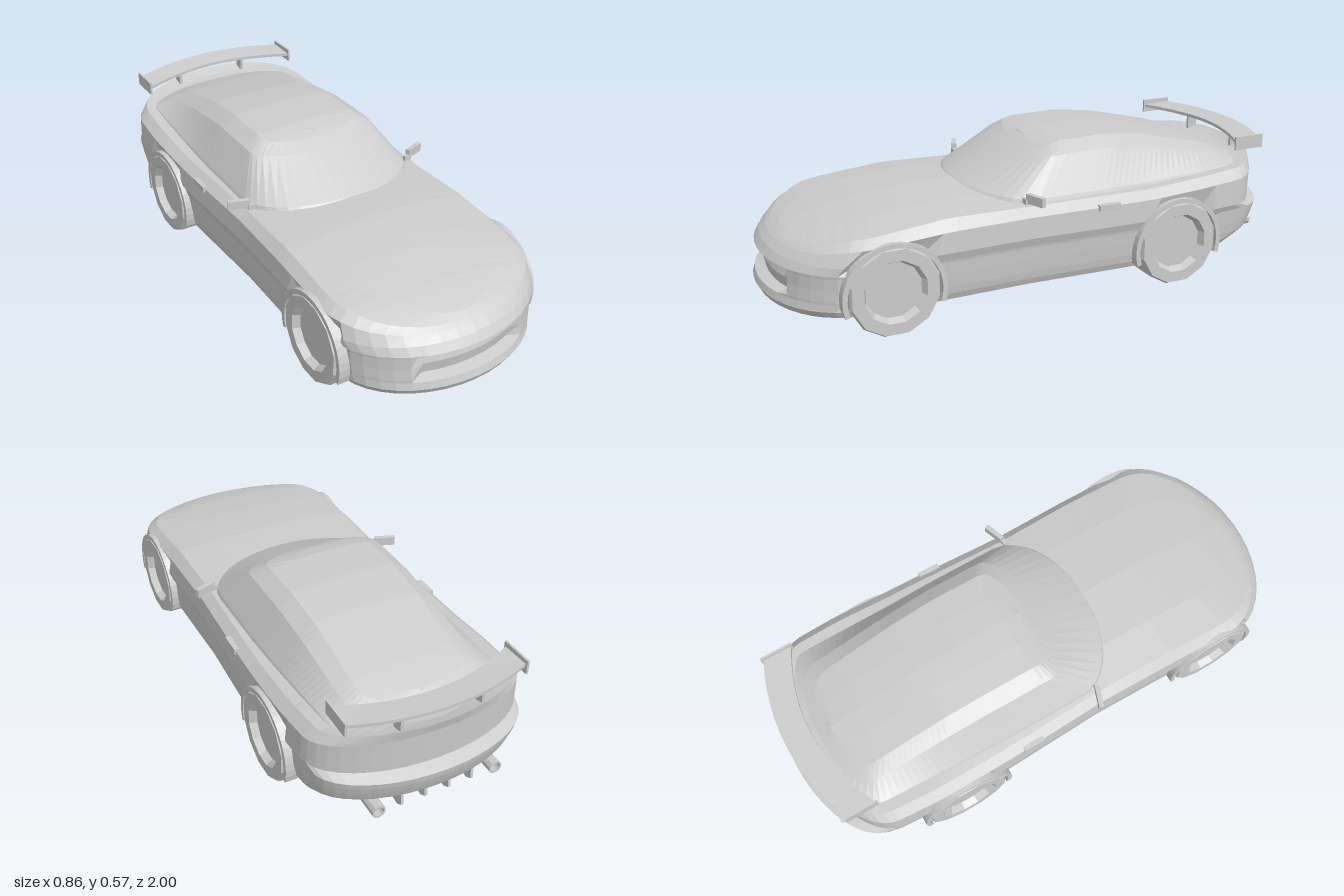
import * as THREE from 'three';

const grey = new THREE.MeshStandardMaterial({ color: 0xcccccc, flatShading: true, side: THREE.DoubleSide });
const CAP = 10, MID = 30;

// piecewise linear lookup in a table of [z, value], z falling
function lookup(table, z) {
  if (z >= table[0][0]) return table[0][1];
  for (let i = 1; i < table.length; i++) {
    const [z0, v0] = table[i - 1], [z1, v1] = table[i];
    if (z >= z1) return v0 + (v1 - v0) * (z0 - z) / (z0 - z1);
  }
  return table[table.length - 1][1];
}

// closed plan outline: elliptical nose, straight flanks, elliptical tail
function outline({ front, rear, w, y, noseDepth, tailDepth, waist = [[0, 1]] }) {
  const half = [];
  for (let i = 0; i <= CAP; i++) {
    const a = i / CAP * Math.PI / 2;
    half.push([w * Math.sin(a), front - noseDepth * (1 - Math.cos(a))]);
  }
  for (let i = 1; i < MID; i++)
    half.push([w, THREE.MathUtils.lerp(front - noseDepth, rear + tailDepth, i / MID)]);
  for (let i = CAP; i >= 0; i--) {
    const a = i / CAP * Math.PI / 2;
    half.push([w * Math.sin(a), rear + tailDepth * (1 - Math.cos(a))]);
  }
  const right = half.slice(1, -1).reverse().map(([x, z]) => [-x, z]);
  return half.concat(right).map(([x, z]) =>
    new THREE.Vector3(x * lookup(waist, z), lookup(y, z), z));
}

// skin over a stack of outlines
function skin(rings) {
  const n = rings[0].length, pos = [], index = [];
  rings.forEach(r => r.forEach(p => pos.push(p.x, p.y, p.z)));
  for (let v = 0; v < rings.length - 1; v++)
    for (let i = 0; i < n; i++) {
      const a = v * n + i, b = v * n + (i + 1) % n;
      index.push(a, b, b + n, a, b + n, a + n);
    }
  const g = new THREE.BufferGeometry();
  g.setAttribute('position', new THREE.Float32BufferAttribute(pos, 3));
  g.setIndex(index);
  g.computeVertexNormals();
  return g;
}

const wheels = [{ name: 'front', z: 0.61, outer: 0.412 }, { name: 'rear', z: -0.5, outer: 0.427 }];

function bodyGeometry() {
  const waist = [[0.7, 1], [0.55, 1], [0.1, 0.98], [-0.3, 1.02], [-0.6, 1.03], [-0.8, 1]];
  const ring = (front, rear, w, y, grille = 0) => {
    const pts = outline({ front, rear, w, y, noseDepth: 0.27, tailDepth: 0.2, waist });
    for (const p of pts) {
      // grille recess
      if (grille && p.z > 0.8 && Math.abs(p.x) < 0.215) p.z -= grille;
      // wheel wells
      for (const k of wheels)
        if (Math.hypot(p.z - k.z, p.y - 0.16) < 0.165)
          p.x = THREE.MathUtils.clamp(p.x, 0.04 - k.outer, k.outer - 0.04);
    }
    return pts;
  };
  const level = (f, r) => [[-0.4, f], [-0.6, f + (r - f) * 0.35], [-0.97, r]];
  return skin([
    ring(0.98, -0.88, 0, level(0.08, 0.125)),
    ring(0.985, -0.9, 0.37, level(0.08, 0.125)),
    ring(0.998, -0.93, 0.38, level(0.105, 0.14)),
    ring(0.99, -0.97, 0.385, level(0.132, 0.165)),
    ring(0.99, -0.975, 0.386, level(0.142, 0.175), 0.04),
    ring(0.985, -0.985, 0.39, level(0.183, 0.2), 0.028),
    ring(0.985, -0.995, 0.393, level(0.226, 0.23), 0.04),
    ring(0.985, -1.0, 0.395, level(0.236, 0.255)),
    ring(0.965, -0.955, 0.405, level(0.265, 0.272)),
    // shoulder
    ring(0.94, -0.96, 0.4, [[0.93, 0.288], [0.75, 0.318], [0.4, 0.34], [-0.4, 0.345], [-0.8, 0.37], [-0.96, 0.4]]),
    ring(0.925, -0.97, 0.365, [[0.92, 0.298], [0.75, 0.343], [0.4, 0.378], [0.1, 0.372], [-0.4, 0.375], [-0.8, 0.405], [-0.96, 0.438]]),
    // bonnet and rear deck
    ring(0.9, -0.93, 0.22, [[0.9, 0.312], [0.78, 0.346], [0.6, 0.376], [0.4, 0.394], [0.2, 0.39], [-0.6, 0.39], [-0.93, 0.422]]),
    ring(0.88, -0.92, 0, [[0.88, 0.32], [0.78, 0.35], [0.6, 0.383], [0.4, 0.404], [0.2, 0.4], [-0.6, 0.39], [-0.92, 0.42]]),
  ]);
}

function cabinGeometry() {
  const ring = (front, rear, w, noseDepth, tailDepth, y) =>
    outline({ front, rear, w, y, noseDepth, tailDepth, waist: [[-0.25, 1], [-0.85, 0.95]] });
  const roof = d => [[0, 0.533 + d], [-0.1, 0.553 + d], [-0.28, 0.557 + d], [-0.45, 0.537 + d], [-0.7, 0.478 + d], [-0.84, 0.437 + d]];
  return skin([
    ring(0.26, -0.92, 0.348, 0.22, 0.15, [[0.26, 0.39], [0.1, 0.368], [-0.4, 0.37], [-0.92, 0.405]]),
    ring(0.245, -0.91, 0.34, 0.2, 0.14, [[0.25, 0.402], [0.08, 0.388], [-0.4, 0.388], [-0.92, 0.414]]),
    ring(0.045, -0.87, 0.263, 0.1, 0.11, [[0.045, 0.508], [-0.1, 0.517], [-0.3, 0.517], [-0.5, 0.492], [-0.87, 0.422]]),
    ring(-0.005, -0.84, 0.205, 0.07, 0.1, roof(0)),
    ring(-0.03, -0.82, 0.1, 0.07, 0.1, roof(0.006)),
    ring(-0.03, -0.82, 0, 0.07, 0.1, roof(0.009)),
  ]);
}

function extrude(shape, depth) {
  return new THREE.ExtrudeGeometry(shape, { depth, bevelEnabled: false, curveSegments: 12 });
}

export function createModel() {
  const model = new THREE.Group();
  const add = (name, geo, x = 0, y = 0, z = 0) => {
    const m = new THREE.Mesh(geo, grey);
    m.name = name;
    m.position.set(x, y, z);
    model.add(m);
    return m;
  };
  const box = (w, h, d) => new THREE.BoxGeometry(w, h, d);

  add('body', bodyGeometry());
  add('cabin', cabinGeometry());

  // wheel with recessed rim, and arch lip
  const wheelProfile = [[0, 0], [0.15, 0], [0.165, 0.01], [0.165, 0.122], [0.158, 0.135], [0.115, 0.135], [0.102, 0.108], [0, 0.108]]
    .map(p => new THREE.Vector2(...p));
  const lip = new THREE.Shape();
  lip.absarc(0, 0, 0.186, -0.3, Math.PI + 0.3, false);
  lip.absarc(0, 0, 0.168, Math.PI + 0.3, -0.3, true);

  for (const s of [1, -1]) {
    const side = s > 0 ? 'left' : 'right';
    for (const k of wheels) {
      const wheel = new THREE.LatheGeometry(wheelProfile, 12);
      wheel.rotateY(Math.PI / 12).rotateZ(-s * Math.PI / 2);
      add(`${side} ${k.name} wheel`, wheel, s * (k.outer - 0.135), 0.16, k.z);
      const arch = extrude(lip, 0.05).rotateY(Math.PI / 2);
      add(`${side} ${k.name} arch lip`, arch, s > 0 ? k.outer - 0.052 : -k.outer + 0.002, 0.15, k.z);
    }

    // door mirror and handle
    const mirror = add(`${side} mirror`, box(0.08, 0.034, 0.018), s * 0.387, 0.403, 0.083);
    mirror.rotation.y = s * 0.35;
    add(`${side} mirror stalk`, box(0.03, 0.02, 0.014), s * 0.345, 0.39, 0.1);
    add(`${side} door handle`, box(0.02, 0.022, 0.085), s * 0.402, 0.343, -0.205);

    // wing struts and end plates
    add(`${side} wing strut`, box(0.012, 0.085, 0.04), s * 0.15, 0.453, -0.925);
    add(`${side} wing end plate`, box(0.008, 0.052, 0.125), s * 0.334, 0.49, -0.858);

    // exhaust tip
    const pipe = [[0.018, 0.06], [0.018, -0.05], [0.025, -0.05], [0.025, 0.06], [0.018, 0.06]].map(p => new THREE.Vector2(...p));
    add(`${side} exhaust`, new THREE.LatheGeometry(pipe, 10).rotateX(-Math.PI / 2), s * 0.225, 0.128, -0.9);
  }

  // curved wing blade
  const blade = new THREE.Shape();
  blade.moveTo(-0.334, -0.8);
  blade.quadraticCurveTo(0, -0.97, 0.334, -0.8);
  blade.lineTo(0.334, -0.91);
  blade.quadraticCurveTo(0, -1.05, -0.334, -0.91);
  const bladeGeo = extrude(blade, 0.012).rotateX(Math.PI / 2);
  const bp = bladeGeo.attributes.position;
  for (let i = 0; i < bp.count; i++) // tail of the blade kicks up
    bp.setY(i, bp.getY(i) + 0.497 + 0.08 * Math.max(0, -0.86 - bp.getZ(i)));
  bladeGeo.computeVertexNormals();
  add('wing blade', bladeGeo);

  // diffuser fins
  const fin = new THREE.Shape([[0.78, 0.125], [0.93, 0.1], [0.955, 0.115], [0.95, 0.16], [0.8, 0.14]]
    .map(p => new THREE.Vector2(...p)));
  for (let i = 0; i < 4; i++)
    add('diffuser fin', extrude(fin, 0.01).rotateY(Math.PI / 2), -0.14 + i * 0.09);

  return model;
}
